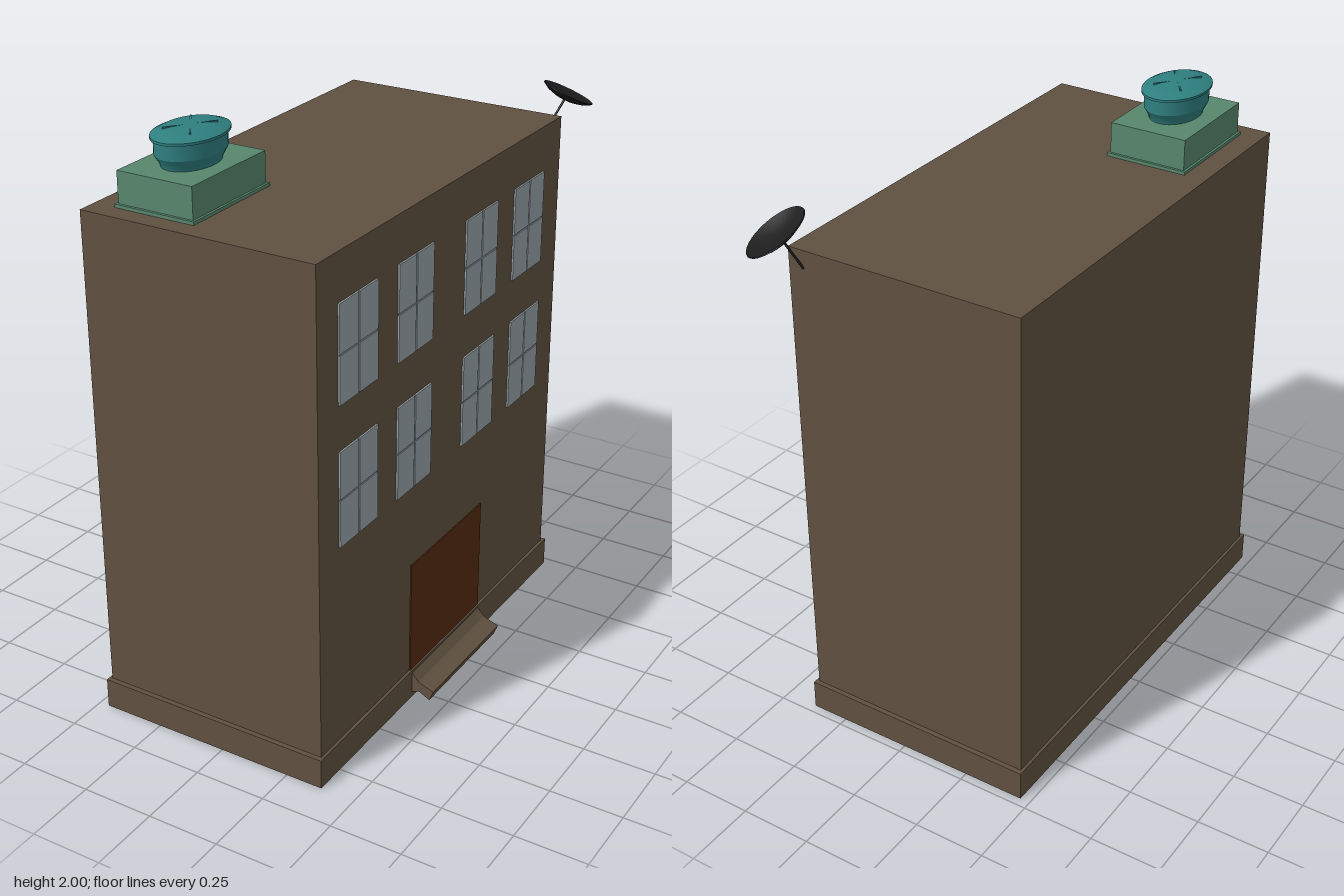
import * as THREE from 'three';
import { toCreasedNormals } from 'three/addons/utils/BufferGeometryUtils.js';

const flat = (name, color, extra = {}) => {
  const m = new THREE.MeshStandardMaterial({ color, ...extra });
  m.name = name;
  return m;
};

export function createModel() {
  const stone = flat('brown stone', 0x605140);
  const glass = flat('window glass', 0x98a3a8);
  const wood = flat('door wood', 0x562b0f);
  const green = flat('green housing', 0x57866c);
  const teal = flat('teal fan', 0x2f7f80);
  const black = flat('black metal', 0x1d1d1d, { side: THREE.DoubleSide });

  const model = new THREE.Group();
  model.name = 'building';
  const add = (name, geometry, material, parent = model) => {
    const mesh = new THREE.Mesh(geometry, material);
    mesh.name = name;
    parent.add(mesh);
    return mesh;
  };
  // Box given by its lower and upper limits on each axis
  const box = (name, mat, x0, x1, y0, y1, z0, z1, parent) => {
    const mesh = add(name, new THREE.BoxGeometry(x1 - x0, y1 - y0, z1 - z0), mat, parent);
    mesh.position.set((x0 + x1) / 2, (y0 + y1) / 2, (z0 + z1) / 2);
    return mesh;
  };
  const lathe = (points, sides, crease) => toCreasedNormals(
    new THREE.LatheGeometry(points.map(([r, y]) => new THREE.Vector2(r, y)), sides), crease);

  // Main block and plinth
  box('walls', stone, -0.455, 0.37, 0.1, 1.77, -0.703, 0.845);
  box('plinth', stone, -0.465, 0.38, 0, 0.105, -0.72, 0.862);

  // Two rows of windows, each a sheet with four slightly raised panes
  const columns = [[0.514, 0.732], [0.18, 0.392], [-0.244, -0.032], [-0.578, -0.366]];
  for (const y0 of [0.811, 1.288]) {
    for (const [z0, z1] of columns) {
      const win = new THREE.Group();
      win.name = 'window';
      model.add(win);
      const y1 = y0 + 0.324, ym = (y0 + y1) / 2, zm = (z0 + z1) / 2, gap = 0.003;
      box('windowSheet', glass, 0.368, 0.373, y0, y1, z0, z1, win);
      for (const [a, b] of [[y0, ym - gap], [ym + gap, y1]])
        for (const [c, d] of [[z0, zm - gap], [zm + gap, z1]])
          box('windowPane', glass, 0.372, 0.376, a, b, c, d, win);
    }
  }

  // Door and the sloping step below it
  box('door', wood, 0.368, 0.374, 0.1, 0.515, -0.19, 0.292);
  const profile = [[0.376, 0.1], [0.405, 0.068], [0.42, 0.062], [0.462, 0.047],
    [0.447, 0.01], [0.407, 0.03], [0.376, 0.018]].map(([x, y]) => new THREE.Vector2(x, y));
  add('doorStep', new THREE.ExtrudeGeometry(new THREE.Shape(profile),
    { depth: 0.47, bevelEnabled: false }), stone).position.z = -0.181;

  // Roof ventilation unit
  const vent = new THREE.Group();
  vent.name = 'roofVent';
  model.add(vent);
  box('ventFlange', green, -0.378, -0.09, 1.765, 1.781, 0.383, 0.778, vent);
  box('ventHousing', green, -0.37, -0.098, 1.775, 1.885, 0.392, 0.769, vent);

  // Oval fan cap with crossed ribs
  const fan = new THREE.Group();
  fan.name = 'ventFan';
  fan.position.set(-0.233, 1.885, 0.582);
  fan.scale.x = 0.71;
  vent.add(fan);
  add('fanCap', lathe([[0, 0], [0.114, 0], [0.118, 0.012], [0.136, 0.038], [0.136, 0.085],
    [0.148, 0.088], [0.148, 0.096], [0.12, 0.106], [0.07, 0.112], [0, 0.115]], 32, 0.5), teal, fan);
  for (const angle of [Math.PI / 4, -Math.PI / 4]) {
    const rib = add('fanRib', new THREE.BoxGeometry(0.006, 0.006, 0.2), teal, fan);
    rib.position.y = 0.111;
    rib.rotation.y = angle;
  }

  // Tilted oval dish at the back corner
  const dish = new THREE.Group();
  dish.name = 'dish';
  dish.position.set(0.365, 1.832, -0.754);
  dish.quaternion.setFromUnitVectors(new THREE.Vector3(0, 1, 0),
    new THREE.Vector3(0.36, 1, -0.36).normalize());
  model.add(dish);
  const bowl = add('dishBowl', lathe([[0, -0.02], [0.05, -0.016], [0.09, -0.007], [0.118, 0.006],
    [0.116, 0.009], [0.085, -0.001], [0.045, -0.01], [0, -0.013]], 32, 0.8), black, dish);
  bowl.scale.x = 0.74;

  // Bracket from the back wall to the dish
  const foot = new THREE.Vector3(0.315, 1.71, -0.703);
  const head = new THREE.Vector3(0.36, 1.818, -0.745);
  add('dishBracket', new THREE.TubeGeometry(new THREE.LineCurve3(foot, head), 1, 0.004, 8), black);

  return model;
}
